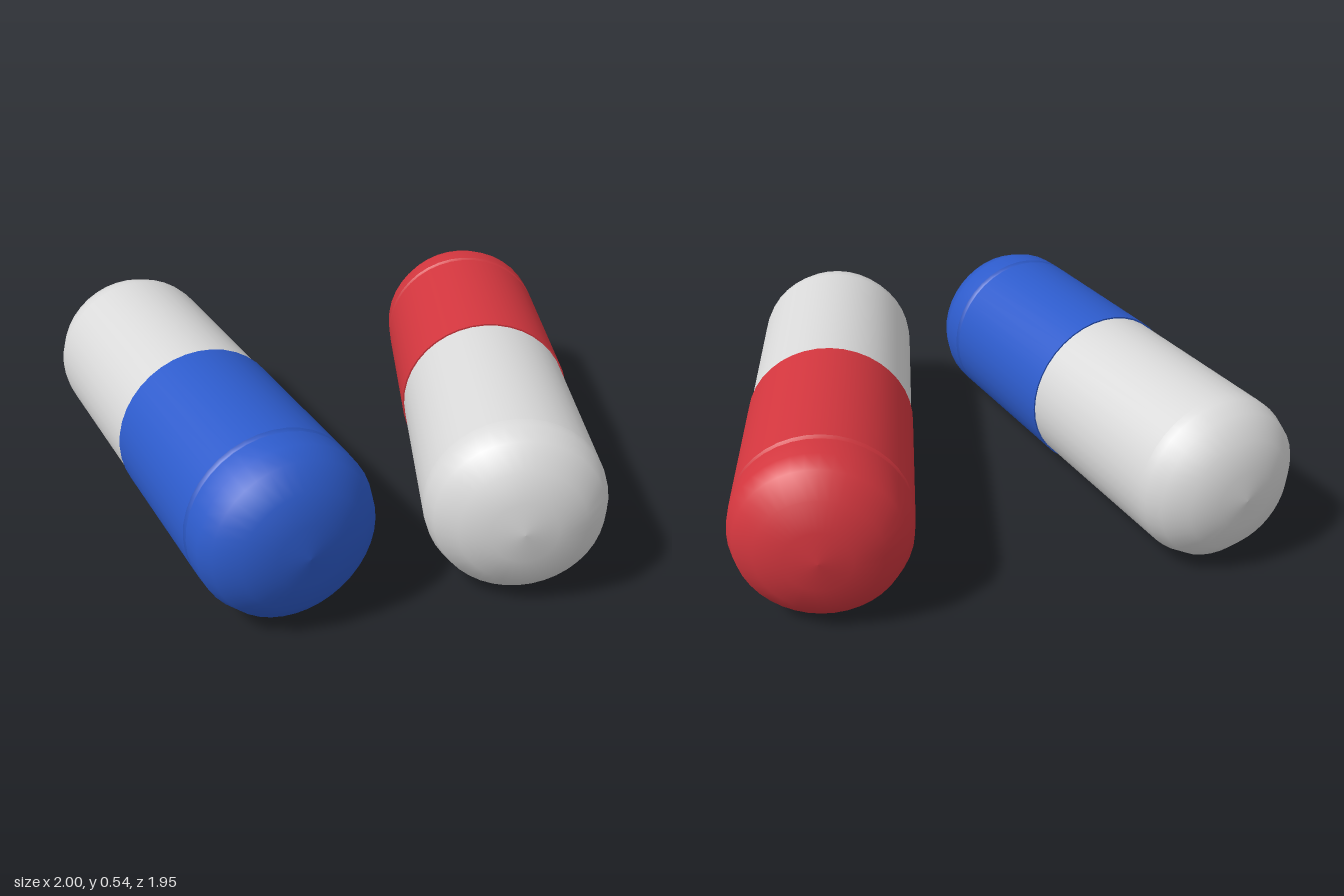
import * as THREE from 'three';

const SEGMENTS = 40;
const R = 0.272;      // coloured sleeve radius
const R_IN = 0.267;   // pale body radius

const white = new THREE.MeshStandardMaterial({ color: 0xd9d9d9 });
white.name = 'white';
const red = new THREE.MeshStandardMaterial({ color: 0xd2363e });
red.name = 'red';
const blue = new THREE.MeshStandardMaterial({ color: 0x2d5bcb });
blue.name = 'blue';

// Revolved surface around the capsule axis; points are [radius, height] going up
function lathe(name, points, material) {
  const profile = points.map(([r, h]) => new THREE.Vector2(r, h));
  const mesh = new THREE.Mesh(new THREE.LatheGeometry(profile, SEGMENTS), material);
  mesh.name = name;
  return mesh;
}

// Flattened dome profile, from rim to tip
function dome(r, start) {
  return [[r, start], [r * 0.99, 0.64], [r * 0.915, 0.695], [r * 0.68, 0.752], [r * 0.36, 0.783], [0, 0.793]];
}

function capsule(name, color, x, z, dirX, dirZ) {
  const g = new THREE.Group();
  g.name = name;

  // Pale half: dome at the bottom, then the straight body up to the seam
  const lower = dome(R_IN, 0.61).map(([r, h]) => [r, -h]).reverse();
  g.add(lathe('paleDome', lower, white));
  g.add(lathe('paleBody', [[R_IN, -0.61], [R_IN, 0]], white));

  // Coloured half: seam lip, sleeve, locking groove and domed cap
  g.add(lathe('sleeveLip', [[R_IN - 0.002, 0], [R, 0]], color));
  g.add(lathe('sleeve', [[R, 0], [R, 0.545]], color));
  g.add(lathe('groove', [[R, 0.545], [R - 0.008, 0.552], [R - 0.008, 0.56], [R, 0.567]], color));
  g.add(lathe('colouredDome', dome(R, 0.567), color));

  // Lay the capsule on its side, coloured end along the given direction
  const dir = new THREE.Vector3(dirX, 0, dirZ).normalize();
  g.quaternion.setFromUnitVectors(new THREE.Vector3(0, 1, 0), dir);
  g.position.set(x, R, z);
  return g;
}

export function createModel() {
  const model = new THREE.Group();
  model.name = 'capsules';
  model.add(capsule('blueCapsule', blue, -0.284, 0.37, 0.819, 0.574));
  model.add(capsule('redCapsule', red, 0.437, -0.235, -0.5, -0.866));
  return model;
}
